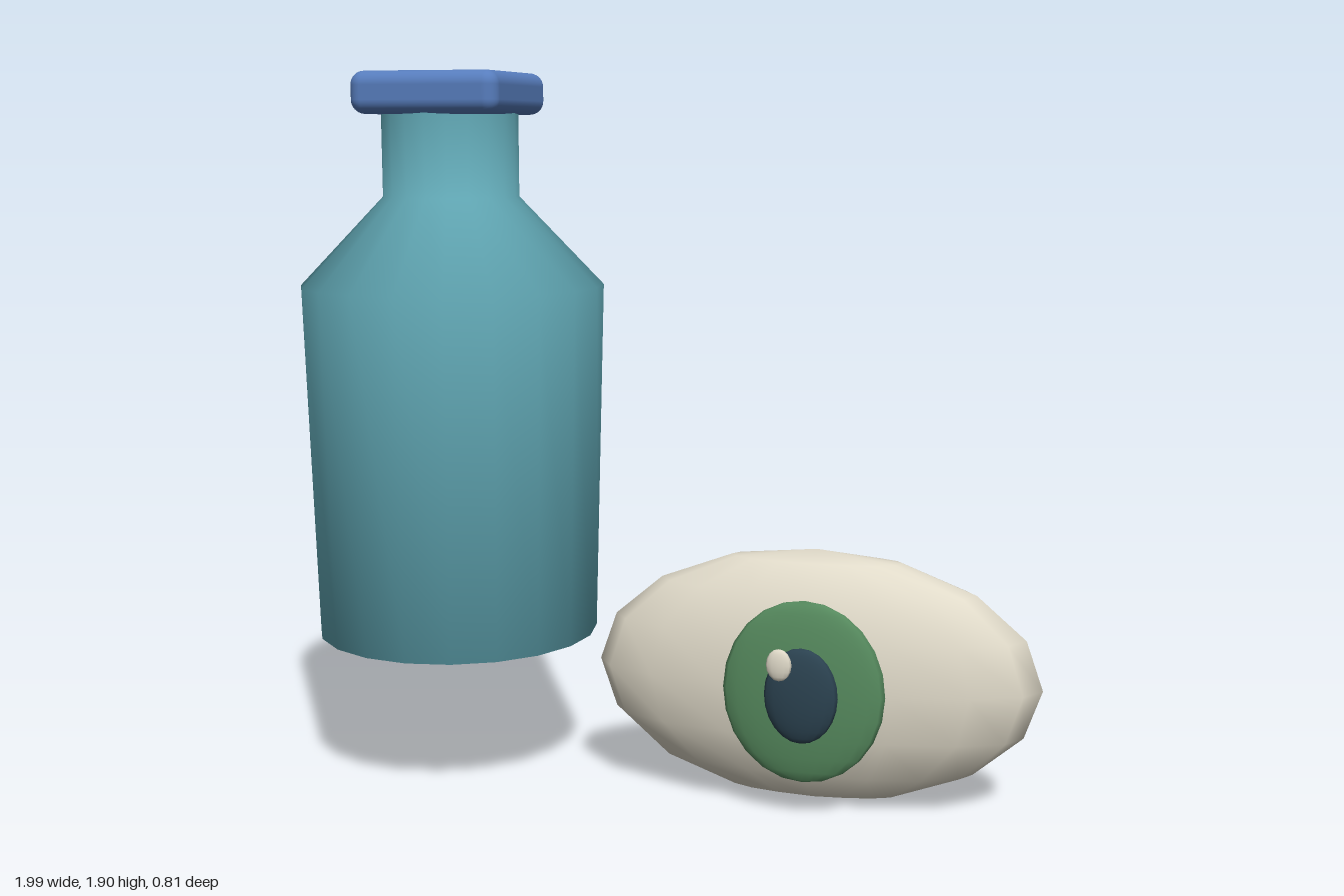
import * as THREE from 'three';
import { RoundedBoxGeometry } from 'three/addons/geometries/RoundedBoxGeometry.js';

const paint = (name, color) => {
  const m = new THREE.MeshStandardMaterial({ color });
  m.name = name;
  return m;
};

function addMesh(parent, name, geometry, material, x, y, z) {
  const mesh = new THREE.Mesh(geometry, material);
  mesh.name = name;
  mesh.position.set(x, y, z);
  parent.add(mesh);
}

// Sphere stretched to the given radii, with correct normals
const ellipsoid = (rx, ry, rz, w = 16, h = 8) =>
  new THREE.SphereGeometry(1, w, h).scale(rx, ry, rz);

export function createModel() {
  const teal = paint('teal glass', 0x62a9b6);
  const blue = paint('blue stopper', 0x577dbd);
  const cream = paint('cream white', 0xe0dac9);
  const green = paint('iris green', 0x568a5e);
  const dark = paint('pupil dark', 0x2b4250);

  const model = new THREE.Group();
  model.name = 'bottleAndEye';

  // Bottle: closed turned body, shoulder and neck, with a square stopper
  const bottle = new THREE.Group();
  bottle.name = 'bottle';
  bottle.position.x = -0.595;
  model.add(bottle);
  const profile = [[0, 0.4], [0.38, 0.4], [0.405, 1.345], [0.181, 1.58], [0.181, 1.82]]
    .map(([r, y]) => new THREE.Vector2(r, y));
  addMesh(bottle, 'bottleBody', new THREE.LatheGeometry(profile, 20), teal, 0, 0, 0);
  addMesh(bottle, 'stopper', new RoundedBoxGeometry(0.405, 0.11, 0.405, 4, 0.036), blue, 0, 1.85, 0);

  // Eye: flattened ellipsoids stacked towards the front
  const eye = new THREE.Group();
  eye.name = 'eye';
  eye.position.set(0.405, 0.34, 0);
  model.add(eye);
  addMesh(eye, 'eyeball', ellipsoid(0.59, 0.338, 0.168), cream, 0, 0, 0);
  addMesh(eye, 'iris', ellipsoid(0.21, 0.24, 0.036, 20, 12), green, 0, 0, 0.165);
  addMesh(eye, 'pupil', ellipsoid(0.095, 0.125, 0.027, 16, 12), dark, 0, 0, 0.2);
  addMesh(eye, 'highlight', ellipsoid(0.033, 0.042, 0.012, 12, 8), cream, -0.052, 0.085, 0.227);

  return model;
}
